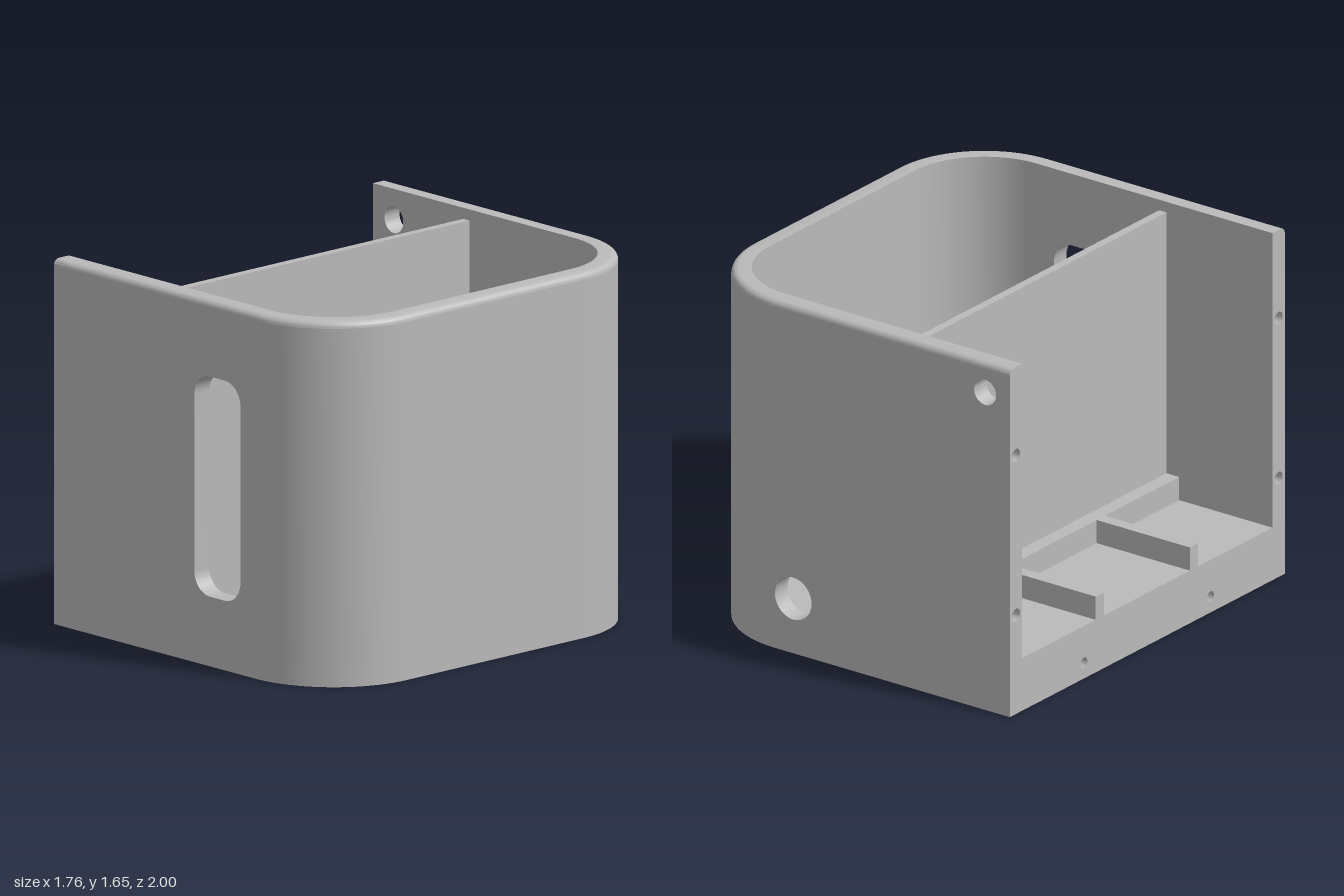
import * as THREE from 'three';
import { toCreasedNormals } from 'three/addons/utils/BufferGeometryUtils.js';

const L = -0.88, R = 0.88, W = 1, H = 1.65; // outer limits
const T = 0.09, RAD = 0.47, FIL = 0.03;     // wall, corner radius, rim rounding
const CX = R - RAD, CZ = W - RAD;           // corner centres
const CAP = -0.82;                          // inner side of the open end frame
const FLOOR = 0.25;                         // raised floor of the open bay

export function createModel() {
  const group = new THREE.Group();
  const grey = new THREE.MeshStandardMaterial({ color: 0xbababa });
  grey.name = 'grey plastic';

  const add = (name, geo) => {
    const mesh = new THREE.Mesh(geo, grey);
    mesh.name = name;
    group.add(mesh);
    return mesh;
  };
  const extrude = (shape, depth) => toCreasedNormals(
    new THREE.ExtrudeGeometry(shape, { depth, bevelEnabled: false, curveSegments: 20 }), 0.5);
  const box = (name, x0, x1, y0, y1, z0, z1) => add(name,
    new THREE.BoxGeometry(x1 - x0, y1 - y0, z1 - z0)
      .translate((x0 + x1) / 2, (y0 + y1) / 2, (z0 + z1) / 2));
  const circle = (x, y, r) => new THREE.Path().absarc(x, y, r, 0, Math.PI * 2, true);

  // Rounded U outline in x/z, moved inward by d, from the front wall round to the back
  const outline = (d, startX) => {
    const pts = [];
    if (startX < CX) pts.push(new THREE.Vector2(startX, W - d));
    const r = RAD - d, n = 20;
    for (const s of [1, -1]) {
      for (let i = 0; i <= n; i++) {
        const a = (s > 0 ? 1 - i / n : -i / n) * Math.PI / 2;
        pts.push(new THREE.Vector2(CX + r * Math.cos(a), s * CZ + r * Math.sin(a)));
      }
    }
    if (startX < CX) pts.push(new THREE.Vector2(startX, d - W));
    return pts;
  };
  const upright = (pts, y0, y1) =>
    extrude(new THREE.Shape(pts), y1 - y0).rotateX(Math.PI / 2).translate(0, y1, 0);

  // Base slab and curved end wall
  add('base', upright(outline(0, CAP), 0, T));
  add('curvedWall', upright([...outline(0, CX), ...outline(T, CX).reverse()], T, H - FIL));

  // Flat side walls with their openings
  const sideWall = (name, z, holes) => {
    const s = new THREE.Shape([[CAP, T], [CX, T], [CX, H - FIL], [CAP, H - FIL]]
      .map(p => new THREE.Vector2(...p)));
    s.holes.push(...holes);
    add(name, extrude(s, T).translate(0, 0, z));
  };
  const slot = new THREE.Path();
  const [sx0, sx1, sy0, sy1, sr] = [0.02, 0.315, 0.315, 1.31, 0.1];
  slot.absarc(sx1 - sr, sy1 - sr, sr, 0, Math.PI / 2);
  slot.absarc(sx0 + sr, sy1 - sr, sr, Math.PI / 2, Math.PI);
  slot.absarc(sx0 + sr, sy0 + sr, sr, Math.PI, Math.PI * 1.5);
  slot.absarc(sx1 - sr, sy0 + sr, sr, Math.PI * 1.5, Math.PI * 2);
  slot.closePath();
  sideWall('frontWall', W - T, [slot]);
  sideWall('backWall', -W, [circle(0.305, 0.26, 0.1), circle(-0.745, 1.51, 0.06)]);

  // Rim with a rounded outer edge, swept along the outline
  const profile = [[T, H - FIL], [T, H]];
  for (let i = 0; i <= 6; i++) {
    const a = (i / 6) * Math.PI / 2;
    profile.push([FIL * (1 - Math.sin(a)), H - FIL * (1 - Math.cos(a))]);
  }
  const rows = profile.map(([d, y]) => outline(d, CAP).map(p => [p.x, y, p.y]));
  const pos = [];
  for (let j = 0; j < rows.length - 1; j++) {
    for (let i = 0; i < rows[0].length - 1; i++) {
      const a = rows[j][i], b = rows[j][i + 1], c = rows[j + 1][i + 1], d = rows[j + 1][i];
      // skip the zero-length joint-free steps naturally; wind outward
      pos.push(...a, ...d, ...b, ...b, ...d, ...c);
    }
  }
  const rim = new THREE.BufferGeometry();
  rim.setAttribute('position', new THREE.Float32BufferAttribute(pos, 3));
  add('rim', toCreasedNormals(rim, 0.5));

  // Frame of the open end, with screw holes
  const f = new THREE.Shape();
  f.moveTo(-W, 0);
  f.lineTo(W, 0);
  f.absarc(W - FIL, H - FIL, FIL, 0, Math.PI / 2);
  f.lineTo(W - T, H);
  f.lineTo(W - T, FLOOR);
  f.lineTo(T - W, FLOOR);
  f.lineTo(T - W, H);
  f.absarc(FIL - W, H - FIL, FIL, Math.PI / 2, Math.PI);
  f.closePath();
  for (const s of [-1, 1]) {
    f.holes.push(circle(s * 0.955, 1.23, 0.03), circle(s * 0.955, 0.47, 0.03),
      circle(s * 0.46, 0.075, 0.025));
  }
  add('endFrame', extrude(f, CAP - L).rotateY(-Math.PI / 2).translate(CAP, 0, 0));

  // Raised floor, divider, and the low ribs in the open bay
  const zi = W - T;
  box('raisedFloor', CAP, -0.26, T, FLOOR, -zi, zi);
  box('divider', -0.3, -0.26, FLOOR, 1.6, -zi, zi);
  box('crossRib', -0.37, -0.3, FLOOR, 0.36, -zi, zi);
  for (const z of [-0.345, 0.34]) box('floorRib', L, -0.37, FLOOR, 0.36, z - 0.03, z + 0.03);

  return group;
}
